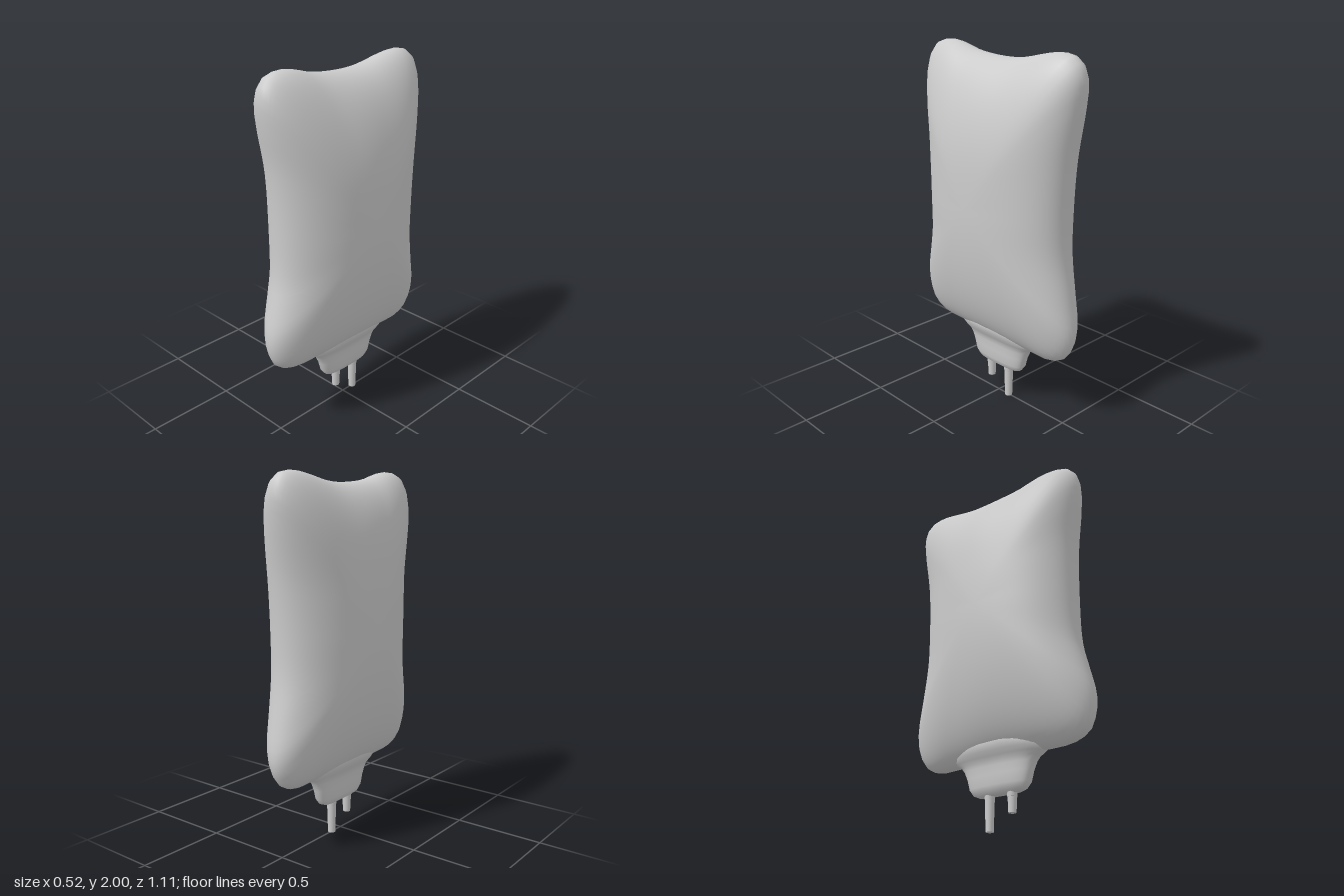
import * as THREE from 'three';
import { mergeVertices } from 'three/addons/utils/BufferGeometryUtils.js';

const material = new THREE.MeshStandardMaterial({ color: 0xcccccc });

// Skin a list of closed rings (arrays of [x, y, z]) with smooth normals.
function loft(rings) {
  const n = rings[0].length;
  const index = [];
  for (let i = 0; i < rings.length - 1; i++) {
    for (let j = 0; j < n; j++) {
      const a = i * n + j, b = i * n + (j + 1) % n;
      index.push(a, a + n, b, a + n, b + n, b);
    }
  }
  const geometry = new THREE.BufferGeometry();
  geometry.setAttribute('position', new THREE.Float32BufferAttribute(rings.flat(2), 3));
  geometry.setIndex(index);
  const merged = mergeVertices(geometry, 1e-5);
  merged.computeVertexNormals();
  return merged;
}

function addMesh(group, name, geometry) {
  const mesh = new THREE.Mesh(geometry, material);
  mesh.name = name;
  group.add(mesh);
  return mesh;
}

// Inflated pouch: rings grow from one face's centre to the seam and back.
function pouchGeometry() {
  // seam outline as [z, y], with pulled-out corners
  const outline = [
    [0, 1.94], [0.2, 1.96], [0.32, 1.993], [0.42, 2], [0.5, 1.97], [0.535, 1.89],
    [0.53, 1.77], [0.49, 1.52], [0.475, 1.2], [0.485, 0.92], [0.52, 0.77],
    [0.557, 0.61], [0.553, 0.52], [0.515, 0.425], [0.43, 0.38], [0.25, 0.37],
    [0, 0.37], [-0.28, 0.36], [-0.43, 0.36], [-0.505, 0.4], [-0.55, 0.49],
    [-0.555, 0.56], [-0.53, 0.7], [-0.485, 0.95], [-0.48, 1.15], [-0.5, 1.45],
    [-0.55, 1.78], [-0.553, 1.89], [-0.515, 1.965], [-0.43, 1.99], [-0.33, 1.98], [-0.15, 1.945],
  ];
  const curve = new THREE.CatmullRomCurve3(outline.map(([z, y]) => new THREE.Vector3(0, y, z)), true);
  const seam = curve.getSpacedPoints(96).slice(0, 96);
  const centreY = 1.17, steps = 48;
  const rings = [];
  for (let i = 0; i <= steps; i++) {
    const t = Math.PI * i / steps;
    const r = i === steps ? 0 : Math.sin(t);
    const side = i === steps / 2 ? 0 : Math.sign(Math.cos(t));
    rings.push(seam.map((p) => {
      const dy = p.y - centreY, dz = p.z;
      // inner rings relax towards an ellipse
      const toEllipse = 1 / Math.hypot(dy / 0.8, dz / 0.5);
      const k = r * THREE.MathUtils.lerp(toEllipse, 1, r * r);
      const up = Math.max(0, dy) / Math.hypot(dy, dz);
      const x = side * 0.26 * Math.sqrt(Math.max(0, 1 - Math.pow(r, 2 + 0.6 * up * up)));
      const y = centreY + dy * k;
      const lean = -0.02 * THREE.MathUtils.smoothstep(y, 1.4, 2);
      return [x + lean, y, dz * k];
    }));
  }
  return loft(rings);
}

// Flattened port block, flaring into the pouch.
function portBlockGeometry() {
  // y, half thickness, half width
  const sections = [
    [0.18, 0, 0], [0.18, 0.022, 0.13], [0.194, 0.04, 0.162], [0.225, 0.052, 0.185],
    [0.28, 0.055, 0.2], [0.325, 0.058, 0.22], [0.35, 0.063, 0.24], [0.37, 0.074, 0.27],
    [0.395, 0.088, 0.29], [0.44, 0.105, 0.27], [0.5, 0.08, 0.2], [0.5, 0, 0],
  ];
  const power = (v) => Math.sign(v) * Math.pow(Math.abs(v), 0.7);
  return loft(sections.map(([y, hx, hz]) => Array.from({ length: 48 }, (_, j) => {
    const a = 2 * Math.PI * j / 48;
    return [hx * power(Math.cos(a)), y, -0.015 + hz * power(Math.sin(a))];
  })));
}

export function createModel() {
  const group = new THREE.Group();
  group.name = 'fluidBag';
  addMesh(group, 'pouch', pouchGeometry());
  addMesh(group, 'portBlock', portBlockGeometry());

  // tapered outlet tubes: a collar and a longer nozzle
  const tubes = [
    ['shortTube', 0.06, 0.08],
    ['longTube', -0.08, 0],
  ];
  for (const [name, z, bottom] of tubes) {
    const top = 0.21;
    const tube = addMesh(group, name, new THREE.CylinderGeometry(0.027, 0.021, top - bottom, 16));
    tube.position.set(0, (top + bottom) / 2, z);
    const collar = addMesh(group, name + 'Collar', new THREE.CylinderGeometry(0.029, 0.026, 0.05, 16));
    collar.position.set(0, 0.185, z);
  }
  return group;
}
